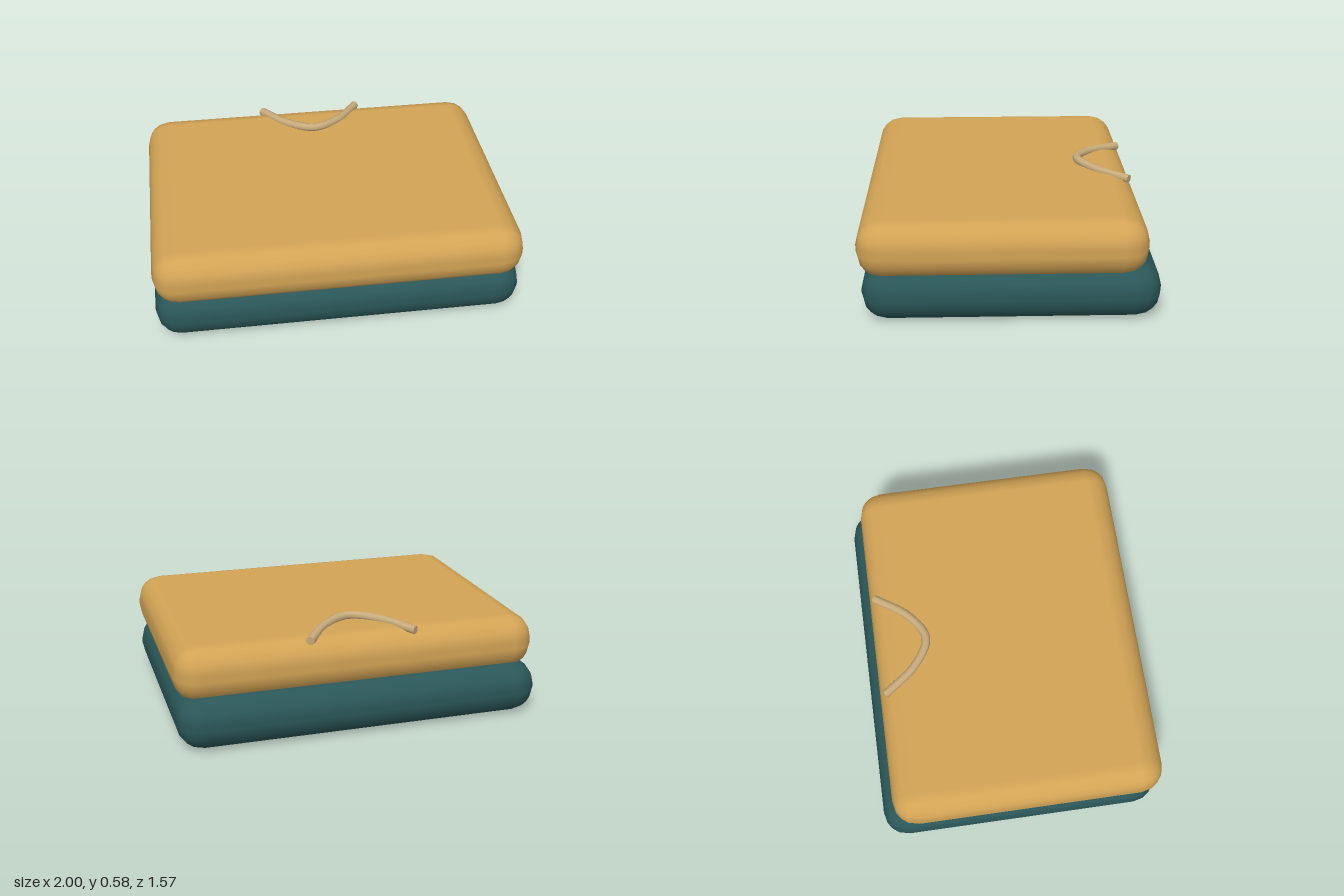
import * as THREE from 'three';
import { RoundedBoxGeometry } from 'three/addons/geometries/RoundedBoxGeometry.js';

// Soft rounded slab given by its y and z limits
function cushion(name, color, y0, y1, z0, z1) {
  const geometry = new RoundedBoxGeometry(2, y1 - y0, z1 - z0, 2, 0.135);
  const mesh = new THREE.Mesh(geometry, new THREE.MeshStandardMaterial({ color }));
  mesh.name = name;
  mesh.position.set(0, (y0 + y1) / 2, (z0 + z1) / 2);
  return mesh;
}

// Curved cord with closed ends
function createCord() {
  const group = new THREE.Group();
  group.name = 'cord';
  const radius = 0.024;
  const sides = 8;
  const material = new THREE.MeshStandardMaterial({ color: 0xc8ac7c });
  const curve = new THREE.CatmullRomCurve3([
    new THREE.Vector3(-0.29, 0.53, -0.68),
    new THREE.Vector3(-0.15, 0.547, -0.497),
    new THREE.Vector3(0, 0.556, -0.415),
    new THREE.Vector3(0.15, 0.547, -0.497),
    new THREE.Vector3(0.29, 0.53, -0.68),
  ]);
  const strand = new THREE.Mesh(new THREE.TubeGeometry(curve, 28, radius, sides), material);
  strand.name = 'cordStrand';
  group.add(strand);
  for (const t of [0, 1]) {
    const cap = new THREE.Mesh(new THREE.CircleGeometry(radius, sides), material);
    const outward = curve.getTangentAt(t).multiplyScalar(t ? 1 : -1);
    cap.name = 'cordEnd';
    cap.position.copy(curve.getPointAt(t));
    cap.quaternion.setFromUnitVectors(new THREE.Vector3(0, 0, 1), outward);
    group.add(cap);
  }
  return group;
}

export function createModel() {
  const model = new THREE.Group();
  model.name = 'stackedCushions';
  model.add(
    cushion('lowerCushion', 0x2b5759, 0, 0.29, -0.785, 0.765),
    cushion('upperCushion', 0xd2a355, 0.235, 0.54, -0.715, 0.785),
    createCord(),
  );
  return model;
}
